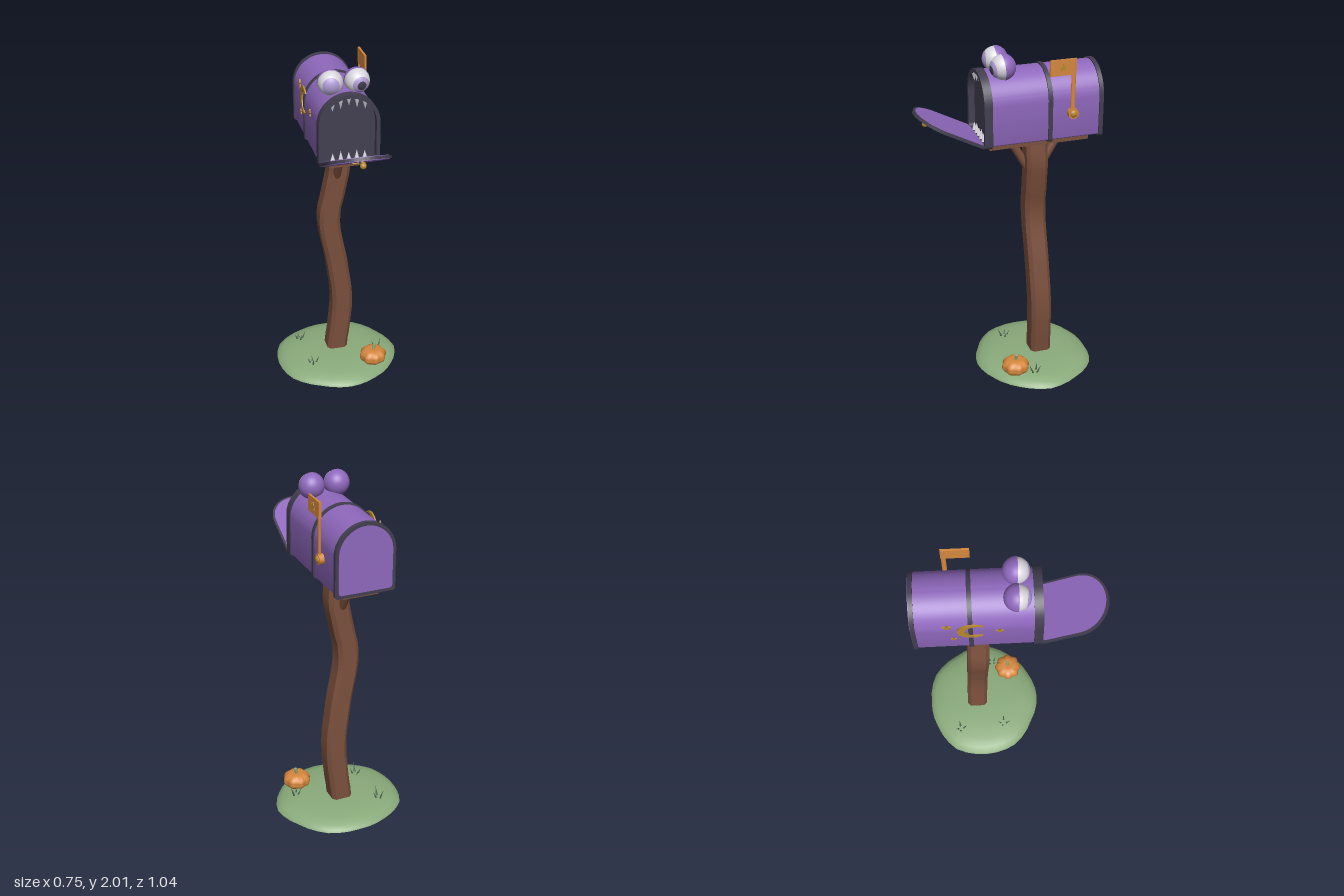
import * as THREE from 'three';
import { toCreasedNormals } from 'three/addons/utils/BufferGeometryUtils.js';

const mat = (name, color, side = THREE.FrontSide) => {
  const m = new THREE.MeshStandardMaterial({ color, side });
  m.name = name;
  return m;
};

// Arched outline, bottom at y = 0, grown or shrunk by g
function arch(g) {
  const w = 0.165 + g, c = 0.02, s = new THREE.Shape();
  s.moveTo(-w + c, -g);
  s.lineTo(w - c, -g);
  s.quadraticCurveTo(w, -g, w, -g + c);
  s.lineTo(w, 0.225);
  s.absarc(0, 0.225, w, 0, Math.PI, false);
  s.lineTo(-w, -g + c);
  s.quadraticCurveTo(-w, -g, -w + c, -g);
  return s;
}

function star(r) {
  const s = new THREE.Shape();
  for (let i = 0; i < 10; i++) {
    const a = Math.PI / 2 + i * Math.PI / 5, q = i % 2 ? r * 0.45 : r;
    s[i ? 'lineTo' : 'moveTo'](q * Math.cos(a), q * Math.sin(a));
  }
  return s;
}

const extrude = (shape, depth, steps = 1) => toCreasedNormals(
  new THREE.ExtrudeGeometry(shape, { depth, steps, bevelEnabled: false, curveSegments: 28 }), 0.5);

export function createModel() {
  const purple = mat('purple paint', 0x8f68bd);
  const trim = mat('dark trim', 0x423e50);
  const wood = mat('brown wood', 0x7a4f3c);
  const orange = mat('orange', 0xd5873e);
  const gold = mat('gold', 0xb8892f);
  const grass = mat('grass green', 0x8aab7b);
  const blade = mat('dark green', 0x55705a, THREE.DoubleSide);
  const white = mat('off white', 0xd9d7de);
  const lilac = mat('lilac', 0xb09cd6);

  const model = new THREE.Group();
  model.name = 'mailbox';
  const add = (name, geo, material, x = 0, y = 0, z = 0, parent = model) => {
    const m = new THREE.Mesh(geo, material);
    m.name = name;
    m.position.set(x, y, z);
    parent.add(m);
    return m;
  };
  const rod = (name, a, b, r, material, parent = model) => {
    const p = new THREE.Vector3(...a), d = new THREE.Vector3(...b).sub(p);
    const m = add(name, new THREE.CylinderGeometry(r, r, d.length(), 14), material, 0, 0, 0, parent);
    m.position.copy(p).addScaledVector(d, 0.5);
    m.quaternion.setFromUnitVectors(new THREE.Vector3(0, 1, 0), d.normalize());
    return m;
  };

  // Ground mound with an uneven outline
  const radii = [0.35, 0.34, 0.35, 0.375, 0.355, 0.365, 0.35, 0.36, 0.39, 0.38, 0.375, 0.345];
  const profile = [[0, 0], [1, 0], [0.98, 0.012], [0.9, 0.03], [0.75, 0.045], [0.5, 0.056], [0.25, 0.06], [0, 0.061]];
  const mound = new THREE.LatheGeometry(profile.map(p => new THREE.Vector2(...p)), 36);
  const mp = mound.attributes.position;
  for (let i = 0; i < mp.count; i++) {
    const x = mp.getX(i), z = mp.getZ(i);
    const t = ((Math.atan2(x, z) / (Math.PI * 2) + 1) % 1) * 12;
    const k = Math.floor(t) % 12, r = THREE.MathUtils.lerp(radii[k], radii[(k + 1) % 12], t - Math.floor(t));
    mp.setX(i, x * r);
    mp.setZ(i, z * r);
  }
  add('ground', toCreasedNormals(mound, 0.7), grass, 0, 0, -0.17);

  // Crooked post: chamfered square swept up a wavy line
  const h = 0.0625, c = 0.042, section = new THREE.Shape();
  [[h, -c], [h, c], [c, h], [-c, h], [-h, c], [-h, -c], [-c, -h], [c, -h]]
    .forEach(([x, y], i) => section[i ? 'lineTo' : 'moveTo'](x, y));
  const post = new THREE.ExtrudeGeometry(section, { depth: 1.45, steps: 32, bevelEnabled: false });
  post.rotateX(-Math.PI / 2);
  const bend = new THREE.SplineCurve([[-0.005, 0], [0.03, 0.36], [0.0, 0.65], [-0.05, 0.95], [-0.015, 1.17],
    [0.007, 1.3], [-0.005, 1.45]].map(p => new THREE.Vector2(...p))).getPoints(120);
  const pp = post.attributes.position;
  for (let i = 0; i < pp.count; i++) {
    const y = pp.getY(i);
    const near = bend.reduce((a, b) => Math.abs(b.y - y) < Math.abs(a.y - y) ? b : a);
    pp.setX(i, pp.getX(i) + near.x);
    pp.setZ(i, pp.getZ(i) - 0.216 + 0.045 * y / 1.45);
  }
  add('post', toCreasedNormals(post, 0.5), wood, 0, 0.03, 0);
  add('platform', new THREE.BoxGeometry(0.21, 0.04, 0.58), wood, -0.01, 1.487, -0.17);
  rod('frontBrace', [-0.01, 1.48, -0.025], [-0.01, 1.28, -0.14], 0.024, wood);
  rod('backBrace', [-0.01, 1.48, -0.322], [-0.01, 1.28, -0.205], 0.024, wood);

  // Box body, bands and mouth
  const box = new THREE.Group();
  box.name = 'box';
  box.position.set(-0.01, 1.51, 0);
  model.add(box);
  add('body', extrude(arch(0), 0.63), purple, 0, 0, -0.505, box);
  add('middleBand', extrude(arch(0.007), 0.024), trim, 0, 0, -0.222, box);
  add('backBand', extrude(arch(0.007), 0.024), trim, 0, 0, -0.518, box);
  add('backPanel', extrude(arch(-0.012), 0.006), purple, 0, 0, -0.522, box);
  const ring = arch(0.007);
  ring.holes.push(arch(-0.014));
  add('frontRim', extrude(ring, 0.047), trim, 0, 0, 0.12, box);
  add('mouthLining', extrude(arch(-0.005), 0.005), trim, 0, 0, 0.125, box);
  for (let i = -2; i <= 2; i++) {
    const x = i * 0.045, len = i % 2 ? 0.06 : 0.05;
    const top = add('upperTooth', new THREE.ConeGeometry(0.016, len, 8), white, x,
      0.225 + Math.sqrt(0.155 ** 2 - x * x) - len / 2, 0.148, box);
    top.rotation.x = Math.PI;
    add('lowerTooth', new THREE.ConeGeometry(0.016, len, 8), white, x, 0.01 + len / 2, 0.15, box);
  }

  // Open door, knob on its outer face
  const door = new THREE.Group();
  door.name = 'door';
  door.position.set(-0.01, 1.515, 0.165);
  door.rotation.x = THREE.MathUtils.degToRad(62.5);
  model.add(door);
  add('doorEdge', extrude(arch(0.007), 0.016), trim, 0, 0, -0.008, door);
  add('doorInside', extrude(arch(-0.005), 0.004), purple, 0, 0, -0.011, door);
  add('doorOutside', extrude(arch(-0.005), 0.004), purple, 0, 0, 0.007, door);
  rod('knobStem', [0, 0.31, 0.008], [0, 0.31, 0.03], 0.01, gold, door);
  add('knob', new THREE.SphereGeometry(0.018, 18, 12), gold, 0, 0.31, 0.034, door);
  add('latchPlate', new THREE.BoxGeometry(0.035, 0.03, 0.008), gold, 0, 0.13, 0.012, door);

  // Bulging eyes with lids behind
  const cap = (name, r, theta, dir, material, parent) => {
    const m = add(name, new THREE.SphereGeometry(r, 32, 16, 0, Math.PI * 2, 0, theta), material, 0, 0, 0, parent);
    m.quaternion.setFromUnitVectors(new THREE.Vector3(0, 1, 0), new THREE.Vector3(...dir).normalize());
  };
  for (const [name, x, look] of [['rightEye', -0.084, [-0.16, 0, 1]], ['leftEye', 0.064, [0.15, -0.13, 1]]]) {
    const eye = new THREE.Group();
    eye.name = name;
    eye.position.set(x, 1.934, 0.036);
    model.add(eye);
    add('eyeball', new THREE.SphereGeometry(0.069, 32, 24), white, 0, 0, 0, eye);
    cap('eyelid', 0.073, 1.6, [0, 0.08, -1], purple, eye);
    cap('iris', 0.0705, 0.72, look, lilac, eye);
    if (x > 0) cap('pupil', 0.0718, 0.36, look, trim, eye);
  }

  // Raised flag on the left side
  rod('flagPole', [0.172, 1.66, -0.332], [0.172, 1.98, -0.332], 0.013, orange).scale.x = 0.6;
  add('flag', new THREE.BoxGeometry(0.012, 0.09, 0.15), orange, 0.172, 1.935, -0.271);
  add('flagStar', extrude(star(0.024), 0.005), gold, 0.178, 1.935, -0.271).rotation.y = Math.PI / 2;
  rod('flagPivot', [0.15, 1.665, -0.335], [0.184, 1.665, -0.335], 0.03, orange);
  add('flagBolt', new THREE.SphereGeometry(0.022, 18, 12), gold, 0.18, 1.665, -0.335).scale.x = 0.7;

  // Crescent and stars on the right side
  const moon = new THREE.Shape();
  moon.absarc(0, 0, 0.08, 0.8, Math.PI * 2 - 0.8, false);
  moon.absarc(0.025, 0, 0.065, -1.08, 1.08, true);
  add('crescent', extrude(moon, 0.009), gold, -0.178, 1.75, -0.2).rotation.y = -Math.PI / 2;
  for (const [y, z, r] of [[1.8, -0.33, 0.025], [1.64, -0.3, 0.016], [1.73, -0.06, 0.022]])
    add('sideStar', extrude(star(r), 0.009), gold, -0.173, y, z).rotation.y = -Math.PI / 2;

  // Ribbed pumpkin
  const fruit = new THREE.SphereGeometry(1, 48, 20), fp = fruit.attributes.position;
  for (let i = 0; i < fp.count; i++) {
    const x = fp.getX(i), y = fp.getY(i), z = fp.getZ(i), r = Math.hypot(x, z);
    const k = 1 + 0.06 * Math.cos(8 * Math.atan2(z, x)) * r;
    fp.setXYZ(i, x * k * 0.08, (y - 0.25 * Math.sign(y) * (1 - r) ** 2) * 0.056, z * k * 0.08);
  }
  add('pumpkin', toCreasedNormals(fruit, 0.9), orange, 0.188, 0.08, -0.005);
  rod('pumpkinStem', [0.188, 0.115, -0.005], [0.198, 0.158, -0.008], 0.009, grass);

  // Grass tufts
  for (const [x, z] of [[-0.21, -0.33], [-0.185, -0.05], [0.24, -0.11]]) {
    const tuft = new THREE.Group();
    tuft.name = 'grassTuft';
    tuft.position.set(x, 0.035, z);
    model.add(tuft);
    for (let i = 0; i < 4; i++) {
      const a = i * 1.7 + x * 9, len = 0.055 + 0.012 * (i % 3);
      const leaf = new THREE.ConeGeometry(0.008, len, 4);
      leaf.translate(0, len / 2, 0);
      const m = add('blade', leaf, blade, 0.012 * Math.cos(a), 0, 0.012 * Math.sin(a), tuft);
      m.rotation.set(0.4 * Math.sin(a), 0, -0.4 * Math.cos(a));
    }
  }
  return model;
}
